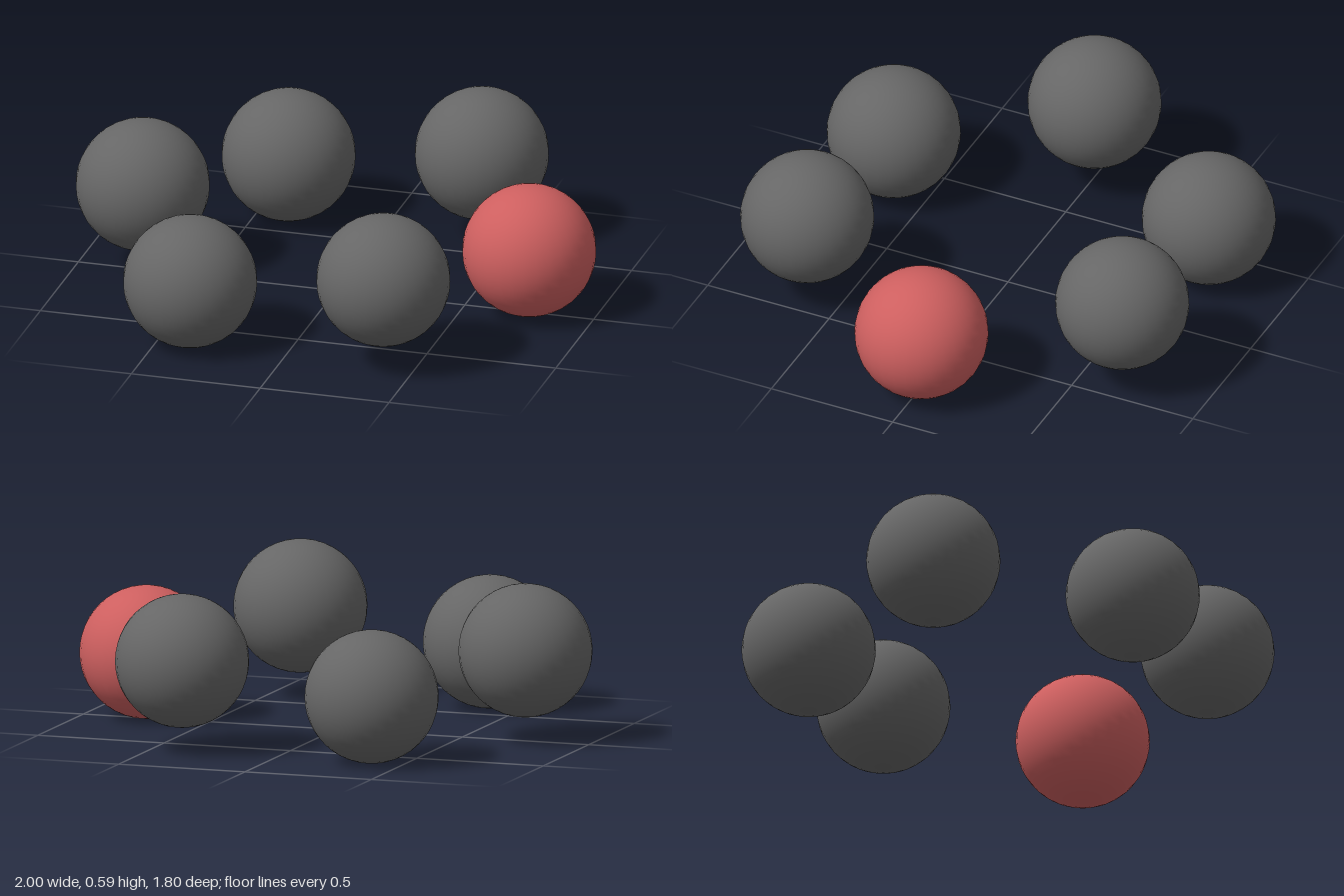
import * as THREE from 'three';

export function createModel() {
  const model = new THREE.Group();
  model.name = 'sphereRing';

  const grey = new THREE.MeshStandardMaterial({ color: 0x666666 });
  grey.name = 'grey';
  const red = new THREE.MeshStandardMaterial({ color: 0xcd5f5f });
  red.name = 'red';

  const radius = 0.25;
  const ringRadius = 0.75;
  const rise = 0.092; // every second sphere sits higher
  const ball = new THREE.SphereGeometry(radius, 32, 24);

  // Puckered six-sided ring of spheres; the first one, on +x, is red
  for (let i = 0; i < 6; i++) {
    const angle = (i * Math.PI) / 3;
    const sphere = new THREE.Mesh(ball, i === 0 ? red : grey);
    sphere.name = i === 0 ? 'redSphere' : `greySphere${i}`;
    sphere.position.set(
      ringRadius * Math.cos(angle),
      radius + (i % 2) * rise,
      ringRadius * Math.sin(angle)
    );
    model.add(sphere);
  }

  return model;
}
